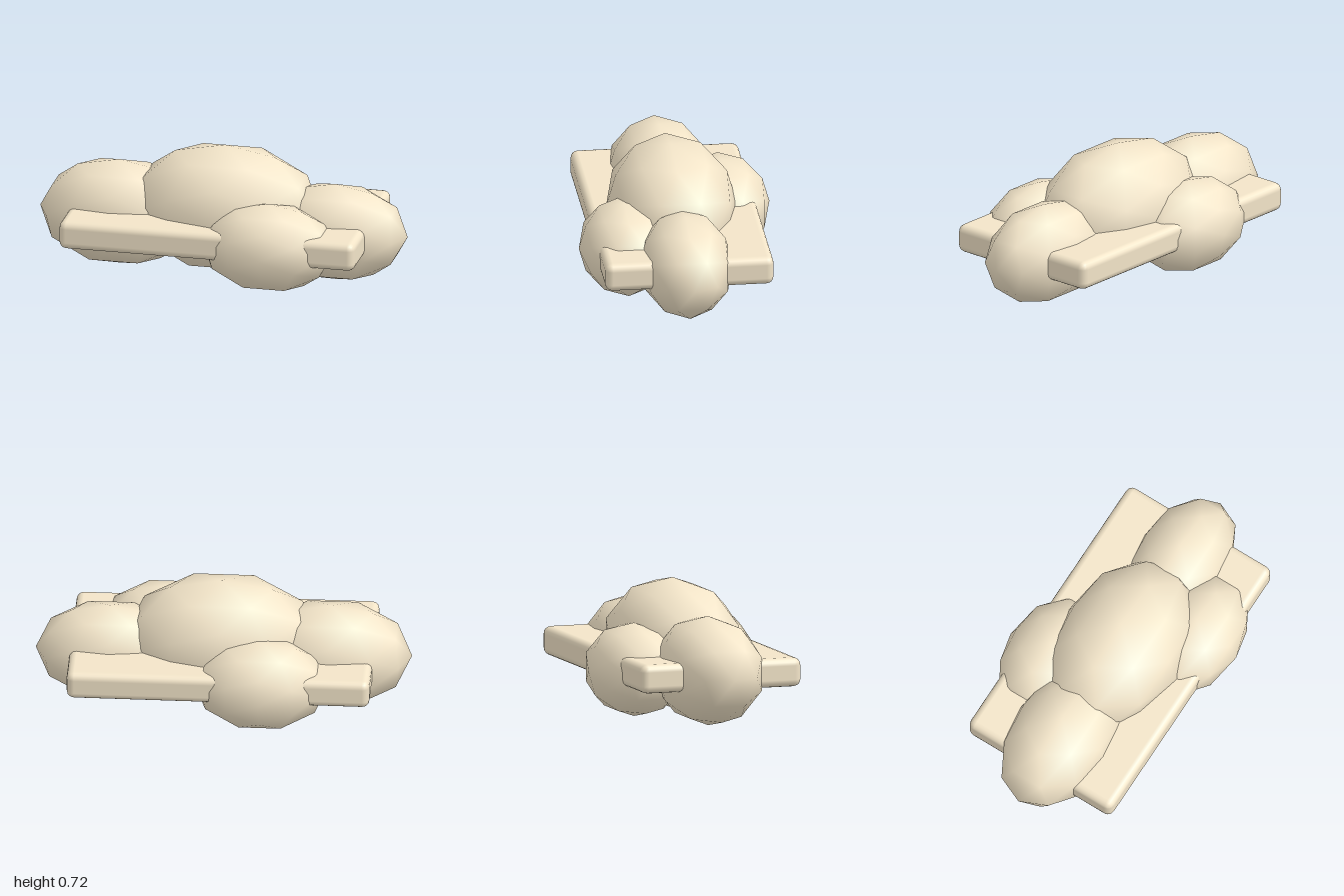
import * as THREE from 'three';
import { RoundedBoxGeometry } from 'three/addons/geometries/RoundedBoxGeometry.js';

export function createModel() {
  const group = new THREE.Group();
  group.name = 'cloudPlatform';
  const material = new THREE.MeshStandardMaterial({ color: 0xf2e4c8 });

  // Puffs: one smooth-shaded icosphere, stretched and placed
  const puffGeometry = new THREE.IcosahedronGeometry(1, 1);
  const puffs = [
    { name: 'centrePuff', at: [0.01, 0.37, 0.01], radii: [0.52, 0.35, 0.35] },
    { name: 'rightPuff', at: [-0.57, 0.297, 0.005], radii: [0.43, 0.292, 0.28] },
    { name: 'leftPuff', at: [0.605, 0.278, 0.005], radii: [0.395, 0.268, 0.25] },
    { name: 'frontPuff', at: [0.31, 0.27, 0.295], radii: [0.36, 0.242, 0.245] },
    { name: 'backPuff', at: [-0.215, 0.27, -0.287], radii: [0.36, 0.25, 0.255] },
  ];
  for (const { name, at, radii } of puffs) {
    const puff = new THREE.Mesh(puffGeometry, material);
    puff.name = name;
    puff.position.set(...at);
    puff.scale.set(...radii);
    group.add(puff);
  }

  // Flat standing slab running through the puffs
  const slab = new THREE.Mesh(new RoundedBoxGeometry(1.61, 0.155, 0.9, 2, 0.04), material);
  slab.name = 'slab';
  slab.position.set(0.005, 0.297, 0.005);
  group.add(slab);

  return group;
}
